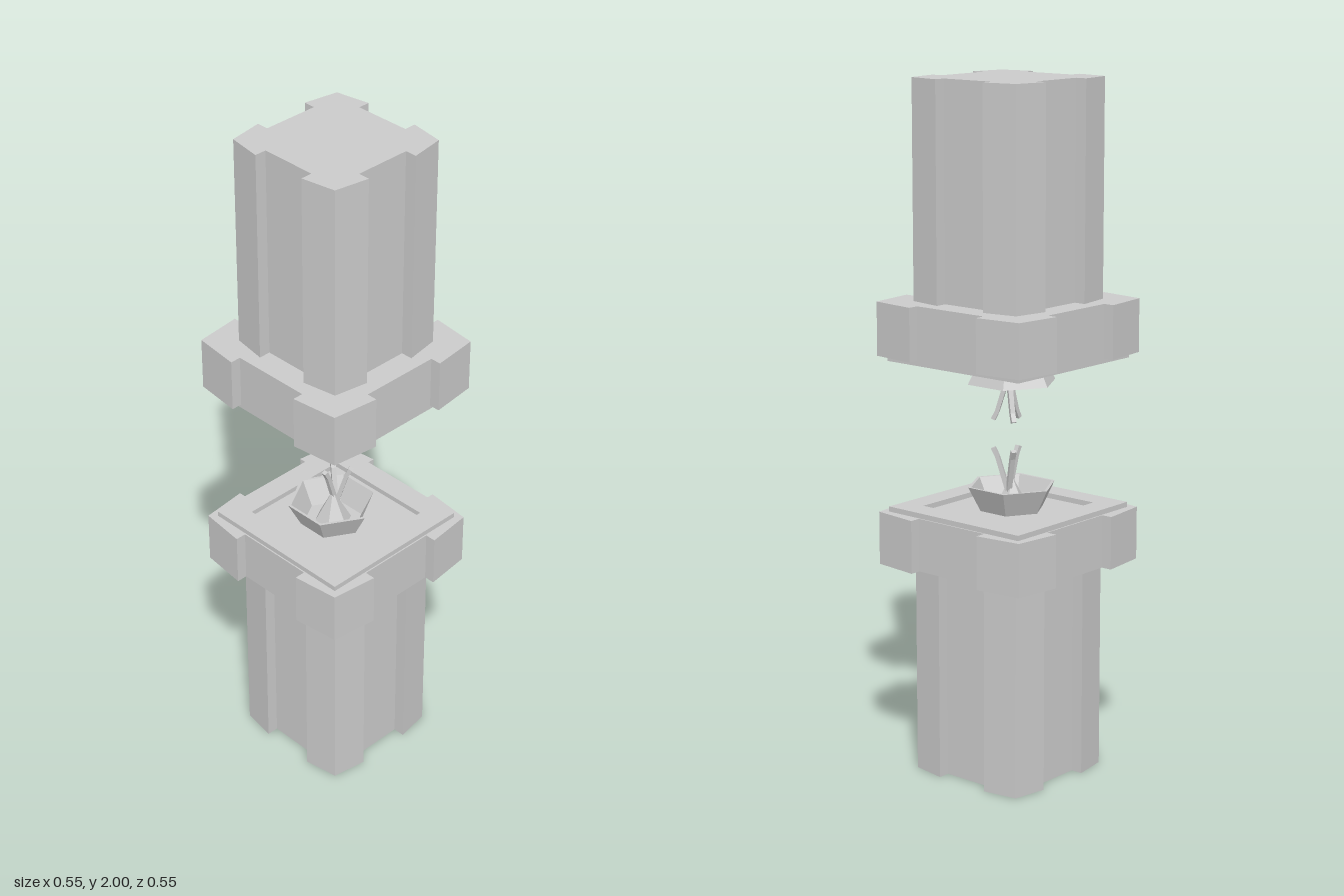
import * as THREE from 'three';

const material = new THREE.MeshStandardMaterial({ color: 0xcccccc, flatShading: true });

function addMesh(parent, name, geometry) {
  const mesh = new THREE.Mesh(geometry, material);
  mesh.name = name;
  parent.add(mesh);
  return mesh;
}

// Extrudes a plan outline upwards from y0 to y1
function extrudeUp(shape, y0, y1) {
  const g = new THREE.ExtrudeGeometry(shape, { depth: y1 - y0, bevelEnabled: false });
  return g.rotateX(-Math.PI / 2).translate(0, y0, 0);
}

// Square plan with raised corner blocks: one corner repeated four times
function corneredPlan(side, notch, edge, corner) {
  const quarter = [[side, notch], [edge, notch], [corner, corner], [notch, edge], [notch, side]];
  const points = [];
  for (let i = 0; i < 4; i++) {
    for (const [x, y] of quarter) {
      points.push(new THREE.Vector2(x, y).rotateAround(new THREE.Vector2(), i * Math.PI / 2));
    }
  }
  return new THREE.Shape(points);
}

function squarePoints(h) {
  return [[-h, -h], [h, -h], [h, h], [-h, h]].map(([x, y]) => new THREE.Vector2(x, y));
}

// One half, standing on y = 0 with its emitter pointing up
function createHalf(name, emitterLift) {
  const half = new THREE.Group();
  half.name = name;

  addMesh(half, 'pillar', extrudeUp(corneredPlan(0.17, 0.085, 0.205, 0.188), 0, 0.62));
  addMesh(half, 'collar', extrudeUp(corneredPlan(0.245, 0.122, 0.277, 0.261), 0.62, 0.774));

  // Raised square frame around the recess
  const frame = new THREE.Shape(squarePoints(0.241));
  frame.holes.push(new THREE.Path(squarePoints(0.172).reverse()));
  addMesh(half, 'recessFrame', extrudeUp(frame, 0.774, 0.789));

  const emitter = new THREE.Group();
  emitter.name = 'emitter';
  emitter.position.y = emitterLift;
  half.add(emitter);

  // Six-sided flared bowl with a thin wall
  const profile = [[0.088, 0.762], [0.131, 0.846], [0.122, 0.846], [0.08, 0.762]]
    .map(([r, y]) => new THREE.Vector2(r, y));
  addMesh(emitter, 'bowl', new THREE.LatheGeometry(profile, 6)).position.x = -0.014;

  // Central spike inside the bowl
  const spike = addMesh(emitter, 'spike', new THREE.ConeGeometry(0.06, 0.113, 6));
  spike.position.set(-0.012, 0.8185, 0);

  // Three kinked prongs spreading outwards
  const prong = new THREE.Shape([
    [-0.008, 0.82], [0.006, 0.82], [0.038, 0.928], [0.05, 0.951], [0.038, 0.956], [0.026, 0.93],
  ].map(([x, y]) => new THREE.Vector2(x, y)));
  for (let i = 0; i < 3; i++) {
    const g = new THREE.ExtrudeGeometry(prong, { depth: 0.014, bevelEnabled: false });
    g.translate(0, 0, -0.007).rotateY(Math.PI + i * Math.PI * 2 / 3);
    addMesh(emitter, 'prong', g);
  }
  return half;
}

export function createModel() {
  const model = new THREE.Group();
  model.name = 'facingPillars';
  model.add(createHalf('lowerPillar', 0));

  // Upper half hangs upside down, facing the lower one
  const upper = createHalf('upperPillar', 0.01);
  upper.rotation.x = Math.PI;
  upper.position.y = 2;
  model.add(upper);
  return model;
}
